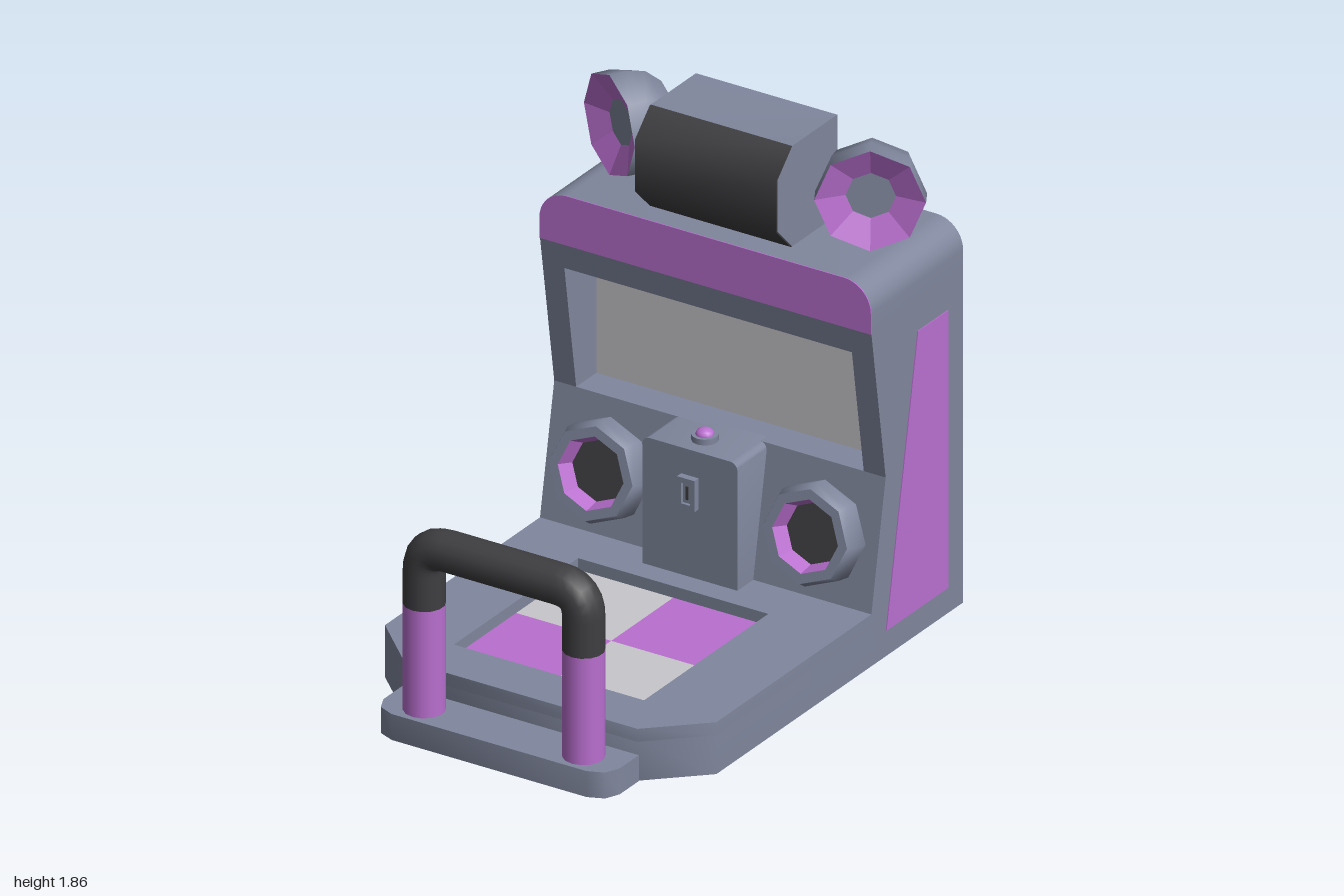
import * as THREE from 'three';
import { toCreasedNormals } from 'three/addons/utils/BufferGeometryUtils.js';

const material = (name, color) => new THREE.MeshStandardMaterial({ name, color });

export function createModel() {
  const grey = material('cabinet grey', 0x80879d);
  const purple = material('purple', 0xba6fd0);
  const light = material('screen grey', 0xc8c7cb);
  const black = material('rubber black', 0x3f3e41);
  const model = new THREE.Group();

  const add = (name, geometry, mat, parent = model) => {
    const mesh = new THREE.Mesh(geometry, mat);
    mesh.name = name;
    parent.add(mesh);
    return mesh;
  };
  const shapeOf = pts => new THREE.Shape(pts.map(p => new THREE.Vector2(...p)));
  const extrude = (shape, depth) =>
    toCreasedNormals(new THREE.ExtrudeGeometry(shape, { depth, bevelEnabled: false, curveSegments: 5 }), 0.9);
  // [z, y] outline swept across x
  const sideways = (pts, x0, x1) =>
    extrude(shapeOf(pts), x1 - x0).rotateY(-Math.PI / 2).translate(x1, 0, 0);
  // [x, z] outline swept upwards
  const upward = (shape, y0, y1) => extrude(shape, y1 - y0).rotateX(Math.PI / 2).translate(0, y1, 0);
  // outline in x and y swept along z
  const forward = (shape, z0, z1) => extrude(shape, z1 - z0).translate(0, 0, z0);
  const box = (x0, x1, y0, y1, z0, z1) => new THREE.BoxGeometry(x1 - x0, y1 - y0, z1 - z0)
    .translate((x0 + x1) / 2, (y0 + y1) / 2, (z0 + z1) / 2);
  // Octagonal turned part facing +z, profile of [radius, z]
  const turned = (pts, crease) => toCreasedNormals(
    new THREE.LatheGeometry(pts.map(p => new THREE.Vector2(...p)), 8).rotateX(Math.PI / 2), crease);
  // Upright outline with rounded top corners
  const roundedTop = (hw, y0, y1, r) => {
    const s = new THREE.Shape();
    s.moveTo(-hw, y0).lineTo(hw, y0).lineTo(hw, y1 - r);
    s.absarc(hw - r, y1 - r, r, 0, Math.PI / 2);
    s.absarc(r - hw, y1 - r, r, Math.PI / 2, Math.PI);
    return s;
  };

  // Platform with a sunken dance floor
  const plan = () => shapeOf([[-0.68, -0.95], [0.68, -0.95], [0.68, 0.61], [0.48, 0.8], [-0.48, 0.8], [-0.68, 0.61]]);
  const rim = plan();
  rim.holes.push(shapeOf([[-0.4, -0.18], [-0.4, 0.605], [0.38, 0.605], [0.38, -0.18]]));
  add('platformBase', upward(plan(), 0, 0.15), grey);
  add('platformRim', upward(rim, 0.15, 0.2), grey);
  for (const i of [0, 1]) for (const j of [0, 1]) {
    const [x0, x1] = i ? [-0.01, 0.38] : [-0.4, -0.01];
    const [z0, z1] = j ? [0.212, 0.605] : [-0.18, 0.212];
    add('floorPad', box(x0, x1, 0.15, 0.155, z0, z1), i === j ? light : purple);
  }

  // Handrail on its foot plate
  add('railFoot', upward(shapeOf([[-0.485, 0.8], [0.485, 0.8], [0.485, 0.92], [0.46, 0.975], [0.4, 1],
    [-0.4, 1], [-0.46, 0.975], [-0.485, 0.92]]), 0, 0.1), grey);
  const V = (x, y) => new THREE.Vector3(x, y, 0.905);
  const rail = new THREE.CurvePath();
  rail.add(new THREE.LineCurve3(V(-0.327, 0.51), V(-0.327, 0.64)));
  rail.add(new THREE.QuadraticBezierCurve3(V(-0.327, 0.64), V(-0.327, 0.735), V(-0.23, 0.735)));
  rail.add(new THREE.LineCurve3(V(-0.23, 0.735), V(0.23, 0.735)));
  rail.add(new THREE.QuadraticBezierCurve3(V(0.23, 0.735), V(0.327, 0.735), V(0.327, 0.64)));
  rail.add(new THREE.LineCurve3(V(0.327, 0.64), V(0.327, 0.51)));
  add('railGrip', new THREE.TubeGeometry(rail, 40, 0.075, 14), black);
  for (const s of [-1, 1])
    add('railPost', new THREE.CylinderGeometry(0.075, 0.075, 0.41, 14).translate(s * 0.327, 0.305, 0.905), purple);

  // Cabinet, leaving an opening for the screen
  const front = y => -0.46 + (y - 0.69) * 0.09 / 0.59;
  add('cabinetLower', sideways([[-0.95, 0.2], [-0.37, 0.2], [-0.46, 0.69], [-0.95, 0.69]], -0.68, 0.68), grey);
  for (const s of [-1, 1])
    add('cabinetPost', sideways([[-0.95, 0.69], [-0.46, 0.69], [front(1.18), 1.18], [-0.95, 1.18]],
      s > 0 ? 0.59 : -0.68, s > 0 ? 0.68 : -0.59), grey);
  add('cabinetRear', box(-0.59, 0.59, 0.69, 1.18, -0.95, -0.595), grey);
  add('screen', box(-0.59, 0.59, 0.69, 1.18, -0.595, -0.588), light);
  add('cabinetLintel', sideways([[-0.95, 1.18], [front(1.18), 1.18], [-0.37, 1.28], [-0.95, 1.28]], -0.68, 0.68), grey);
  add('cabinetTop', forward(roundedTop(0.68, 1.28, 1.47, 0.11), -0.95, -0.37), grey);
  add('headerPanel', forward(roundedTop(0.68, 1.28, 1.47, 0.11), -0.37, -0.366), purple);

  // Side stripes and back hatch
  for (const s of [-1, 1])
    add('sideStripe', sideways([[-0.85, 0.1], [-0.46, 0.1], [-0.66, 1.17], [-0.85, 1.17]],
      s > 0 ? 0.68 : -0.684, s > 0 ? 0.684 : -0.68), purple);
  add('backHatch', forward(shapeOf([[-0.345, 0.15], [0.345, 0.15], [0.435, 0.24], [0.435, 0.64], [0.345, 0.73],
    [-0.345, 0.73], [-0.435, 0.64], [-0.435, 0.24]]), -1, -0.95), grey);

  // Coin box with slot and button
  add('coinBox', forward(roundedTop(0.195, 0.2, 0.69, 0.03), -0.5, -0.27), grey);
  const slotFrame = shapeOf([[-0.036, 0.47], [0.036, 0.47], [0.036, 0.59], [-0.036, 0.59]]);
  slotFrame.holes.push(shapeOf([[-0.018, 0.49], [-0.018, 0.57], [0.018, 0.57], [0.018, 0.49]]));
  add('slotFrame', forward(slotFrame, -0.27, -0.243), grey);
  add('slotPlate', box(-0.018, 0.018, 0.49, 0.57, -0.27, -0.255), grey);
  add('slot', box(-0.005, 0.005, 0.505, 0.555, -0.255, -0.25), black);
  add('buttonBase', new THREE.CylinderGeometry(0.048, 0.048, 0.022, 12).translate(0, 0.701, -0.365), grey);
  add('button', new THREE.SphereGeometry(0.034, 10, 5, 0, Math.PI * 2, 0, Math.PI / 2)
    .scale(1, 0.72, 1).translate(0, 0.711, -0.365), purple);

  // Speakers on the sloping lower front
  for (const s of [-1, 1]) {
    const speaker = new THREE.Group();
    speaker.name = 'speaker';
    speaker.position.set(s * 0.44, 0.455, -0.32);
    speaker.rotation.x = -0.2;
    add('speakerBody', turned([[0, -0.11], [0.188, -0.11], [0.188, -0.035], [0.172, 0], [0.135, 0]], 0.9), grey, speaker);
    add('speakerCup', turned([[0.135, 0], [0.113, -0.06]], 0.1), purple, speaker);
    add('speakerCone', turned([[0.113, -0.06], [0, -0.06]], 0.1), black, speaker);
    model.add(speaker);
  }

  // Spotlights turned outward
  for (const s of [-1, 1]) {
    const lamp = new THREE.Group();
    lamp.name = 'spotlight';
    lamp.position.set(s * 0.535, 1.662, -0.585);
    lamp.rotation.y = s * Math.PI / 6;
    add('lampBody', turned([[0, -0.2], [0.125, -0.2], [0.175, -0.14], [0.193, -0.07], [0.193, 0]], 0.9), grey, lamp);
    add('lampReflector', turned([[0.193, 0], [0.087, -0.045]], 0.1), purple, lamp);
    add('lampBulb', turned([[0.087, -0.045], [0, -0.045]], 0.1), grey, lamp);
    model.add(lamp);
  }

  // Top box with a dark wrapped front
  add('topBox', sideways([[-0.755, 1.47], [-0.47, 1.47], [-0.376, 1.567], [-0.376, 1.763], [-0.47, 1.857],
    [-0.755, 1.857]], -0.29, 0.29), grey);
  add('topBoxFront', sideways([[-0.47, 1.47], [-0.463, 1.47], [-0.37, 1.565], [-0.37, 1.765], [-0.463, 1.857],
    [-0.47, 1.857], [-0.376, 1.763], [-0.376, 1.567]], -0.29, 0.29), black);

  return model;
}
